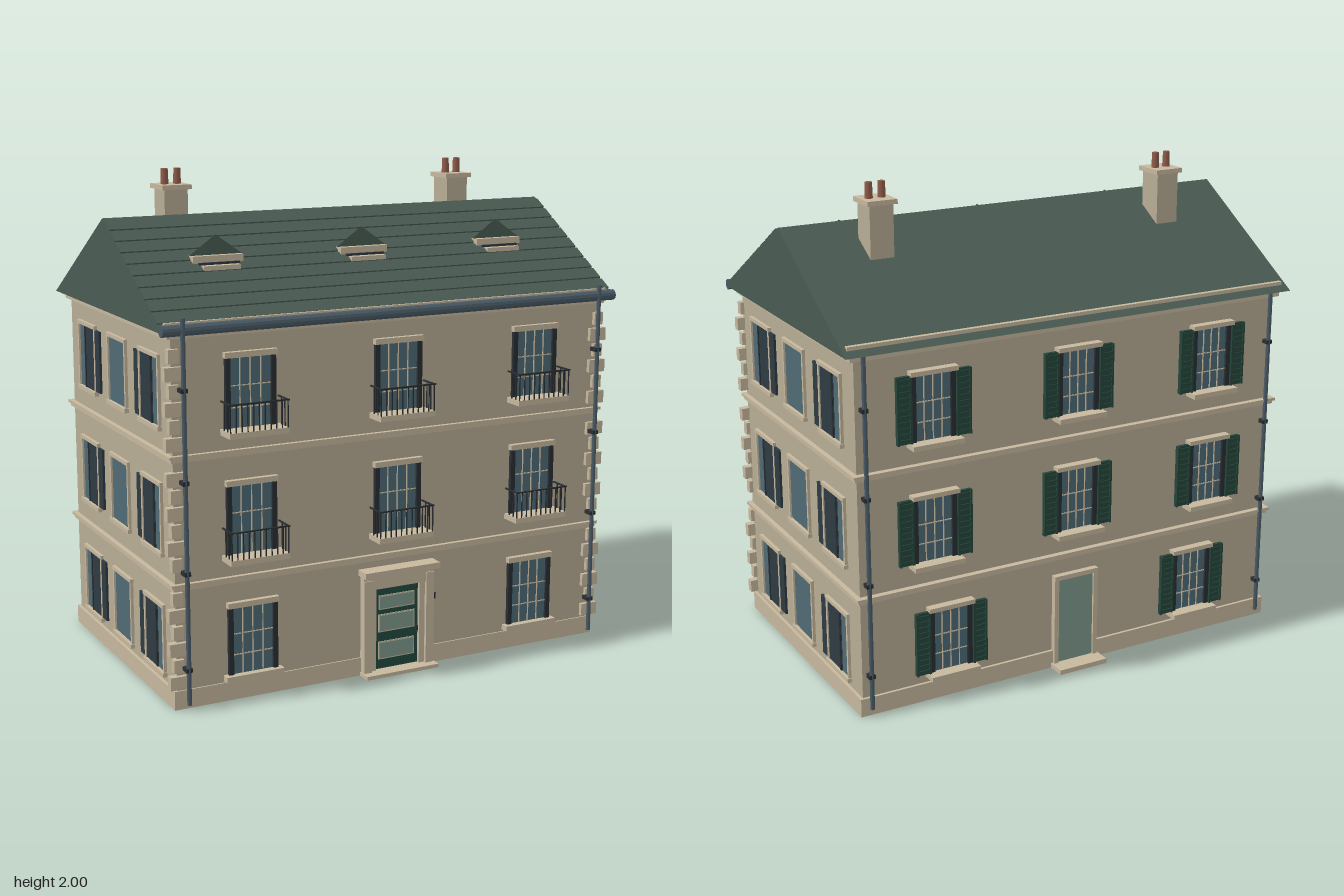
import * as THREE from 'three';

const COLORS = {
  wall: 0xb8ad95, trim: 0xc6b89e, roof: 0x495b52, gutter: 0x4a5a66, iron: 0x2a2f33,
  glass: 0x4f6a75, darkGlass: 0x2f3b43, shutter: 0x24453a, door: 0x1f4a3d, pane: 0x7d9a8c, pot: 0x8f5c49,
};
const mats = {};
for (const k in COLORS) mats[k] = new THREE.MeshStandardMaterial({ color: COLORS[k], flatShading: k !== 'pot' });

function put(parent, name, geo, mat) {
  const m = new THREE.Mesh(geo, mats[mat]);
  m.name = name;
  parent.add(m);
  return m;
}
// Box given by its limits on each axis
function box(parent, name, mat, x0, x1, y0, y1, z0, z1) {
  const m = put(parent, name, new THREE.BoxGeometry(x1 - x0, y1 - y0, z1 - z0), mat);
  m.position.set((x0 + x1) / 2, (y0 + y1) / 2, (z0 + z1) / 2);
  return m;
}
function group(parent, name, x = 0, y = 0, z = 0, ry = 0) {
  const g = new THREE.Group();
  g.name = name;
  g.position.set(x, y, z);
  g.rotation.y = ry;
  parent.add(g);
  return g;
}

// Glazing with bars; local origin at bottom centre, facing +z
function sash(g, hw, h) {
  box(g, 'glass', 'glass', -hw, hw, 0, h, -0.01, 0.006);
  for (const x of [-0.5, 0, 0.5]) box(g, 'glazingBar', 'trim', x * hw - 0.002, x * hw + 0.002, 0, h, 0, 0.01);
  for (const y of [0.28, 0.58]) box(g, 'glazingBar', 'trim', -hw, hw, y * h - 0.002, y * h + 0.002, 0, 0.009);
  for (const s of [-1, 1]) box(g, 'darkJamb', 'iron', s * (hw + 0.008) - 0.01, s * (hw + 0.008) + 0.01, 0, h, -0.01, 0.016);
}

function frontWindow(parent, x, y, balcony) {
  const g = group(parent, 'frontWindow', x, y, 0.56);
  sash(g, 0.086, 0.28);
  box(g, 'lintel', 'trim', -0.108, 0.108, 0.27, 0.292, -0.01, 0.022);
  const out = balcony ? 0.09 : 0.035;
  box(g, 'sill', 'trim', -0.122, 0.122, -0.022, 0, -0.01, out);
  if (!balcony) return;
  // Iron railing round the sill
  const r = group(g, 'balconyRail');
  box(r, 'frontRail', 'iron', -0.125, 0.125, 0.104, 0.11, 0.084, 0.09);
  for (let i = 0; i <= 10; i++) {
    const bx = -0.118 + i * 0.0236;
    box(r, 'baluster', 'iron', bx - 0.002, bx + 0.002, 0, 0.106, 0.085, 0.089);
  }
  for (const s of [-1, 1]) {
    box(r, 'sideRail', 'iron', s * 0.118 - 0.003, s * 0.118 + 0.003, 0.104, 0.11, 0, 0.09);
    for (const z of [0.03, 0.06]) box(r, 'baluster', 'iron', s * 0.118 - 0.002, s * 0.118 + 0.002, 0, 0.106, z - 0.002, z + 0.002);
  }
}

function backWindow(parent, x, y) {
  const g = group(parent, 'backWindow', x, y, -0.565, Math.PI);
  sash(g, 0.075, 0.265);
  box(g, 'lintel', 'trim', -0.1, 0.1, 0.262, 0.28, -0.01, 0.03);
  box(g, 'sill', 'trim', -0.107, 0.107, -0.02, 0, -0.01, 0.058);
  // Louvred shutters
  for (const s of [-1, 1]) {
    const sh = group(g, 'shutter', s * 0.125, 0, 0.012);
    box(sh, 'shutterPanel', 'shutter', -0.03, 0.03, 0, 0.265, -0.008, 0.006);
    for (const e of [-1, 1]) box(sh, 'stile', 'shutter', e * 0.027 - 0.004, e * 0.027 + 0.004, 0, 0.265, 0, 0.013);
    for (let i = 0; i < 11; i++) box(sh, 'louvre', 'shutter', -0.025, 0.025, 0.01 + i * 0.0235, 0.02 + i * 0.0235, 0, 0.011);
  }
}

// Framed window on an end wall; dark = direction of the closed leaf
function sideWindow(parent, x, y, dark) {
  const g = group(parent, 'sideWindow', x, y, 0);
  box(g, 'glass', 'glass', -0.092, 0.092, 0, 0.265, -0.01, 0.004);
  for (const s of [-1, 1]) box(g, 'jamb', 'trim', s * 0.097 - 0.006, s * 0.097 + 0.006, 0, 0.27, -0.01, 0.012);
  box(g, 'head', 'trim', -0.105, 0.105, 0.262, 0.277, -0.01, 0.014);
  box(g, 'sill', 'trim', -0.107, 0.107, -0.015, 0.002, -0.01, 0.018);
  if (!dark) return;
  const a = dark * -0.03, b = dark * 0.092;
  box(g, 'darkPane', 'darkGlass', Math.min(a, b), Math.max(a, b), 0.001, 0.262, 0, 0.007);
  box(g, 'paneDivider', 'iron', dark * -0.022 - 0.005, dark * -0.022 + 0.005, 0, 0.262, 0, 0.01);
  box(g, 'foldedShutter', 'darkGlass', dark * 0.128 - 0.025, dark * 0.128 + 0.025, 0.005, 0.26, -0.005, 0.01);
}

function pipe(parent, x, z, top) {
  const g = group(parent, 'downpipe', x, 0, z);
  put(g, 'pipe', new THREE.CylinderGeometry(0.009, 0.009, top - 0.03, 10), 'gutter').position.y = (top + 0.03) / 2;
  for (const y of [0.17, 0.55, 0.9, 1.25]) box(g, 'bracket', 'iron', -0.013, 0.013, y - 0.008, y + 0.008, -Math.sign(z) * 0.012 - 0.02, -Math.sign(z) * 0.012 + 0.02);
}

export function createModel() {
  const house = new THREE.Group();
  house.name = 'house';

  // Walls, plinth, string courses and eaves cornice
  box(house, 'walls', 'wall', -0.95, 0.95, 0.01, 1.47, -0.56, 0.56);
  box(house, 'plinth', 'trim', -0.963, 0.963, 0, 0.075, -0.572, 0.566);
  for (const y of [0.475, 0.972]) {
    box(house, 'stringCourse', 'trim', -0.962, 0.962, y, y + 0.02, -0.575, 0.572);
    box(house, 'stringCourseLip', 'trim', -0.97, 0.97, y + 0.014, y + 0.026, -0.585, 0.578);
  }
  box(house, 'cornice', 'trim', -0.97, 0.97, 1.438, 1.468, -0.575, 0.575);
  for (const s of [-1, 1]) box(house, 'eavesBoard', 'trim', -0.98, 0.98, 1.455, 1.499, s * 0.567 - 0.01, s * 0.567 + 0.01);

  // Gabled roof
  const tri = new THREE.Shape([[-0.61, 1.465], [0.61, 1.465], [0, 1.828]].map(p => new THREE.Vector2(...p)));
  const roof = put(house, 'roof', new THREE.ExtrudeGeometry(tri, { depth: 2, bevelEnabled: false }), 'roof');
  roof.rotation.y = Math.PI / 2;
  roof.position.x = -1;
  // Slate courses on the front slope
  const slope = group(house, 'slateCourses', 0, 1.828, 0);
  slope.rotation.x = Math.atan2(0.363, 0.61);
  for (let i = 0; i < 10; i++) {
    const z = 0.024 + i * 0.0712;
    box(slope, 'slateCourse', 'roof', -1, 1, -0.006, 0.006, z, Math.min(z + 0.059, 0.703));
  }

  // Gutter and downpipes
  const trough = put(house, 'gutter', new THREE.CylinderGeometry(0.022, 0.022, 2, 12), 'gutter');
  trough.rotation.z = Math.PI / 2;
  trough.position.set(0, 1.473, 0.593);
  for (const s of [-1, 1]) {
    pipe(house, s * 0.92, 0.608, 1.52);
    pipe(house, s * 0.92, -0.583, 1.46);
  }

  // Quoins on the front corners
  for (const s of [-1, 1]) for (let i = 0; i < 20; i++) {
    const y = 0.085 + i * 0.0665, out = i % 2 ? 0.966 : 0.982;
    if (Math.abs(y - 0.455) < 0.03 || Math.abs(y - 0.95) < 0.03) continue;
    const inn = i % 2 ? 0.925 : 0.905;
    box(house, 'quoin', 'trim', Math.min(s * inn, s * out), Math.max(s * inn, s * out), y, y + 0.052, 0.545, 0.577);
  }

  // Windows of the three floors
  [0.105, 0.588, 1.08].forEach((y, floor) => {
    for (const x of [-0.635, 0, 0.635]) {
      if (floor || x) {
        frontWindow(house, x, y, floor > 0);
        backWindow(house, floor ? x : x * 0.9, floor ? y + 0.01 : y + 0.015);
      }
    }
    for (const s of [-1, 1]) {
      const wall = group(house, 'endWall', s * 0.95, 0, 0, s * Math.PI / 2);
      for (const k of [-1, 0, 1]) sideWindow(wall, k * 0.352, y + 0.007, -k);
    }
  });

  // Front door with pilasters and canopy
  const door = group(house, 'frontDoor', 0, 0, 0.56);
  box(door, 'step', 'trim', -0.165, 0.165, 0, 0.015, 0, 0.07);
  for (const s of [-1, 1]) {
    box(door, 'pilaster', 'trim', s * 0.142 - 0.018, s * 0.142 + 0.018, 0, 0.4, 0, 0.035);
    box(door, 'innerJamb', 'trim', s * 0.113 - 0.014, s * 0.113 + 0.014, 0, 0.4, 0, 0.022);
  }
  box(door, 'doorHead', 'trim', -0.16, 0.16, 0.36, 0.415, 0, 0.03);
  box(door, 'canopy', 'trim', -0.15, 0.15, 0.41, 0.425, 0, 0.05);
  box(door, 'canopyTop', 'trim', -0.17, 0.17, 0.42, 0.445, 0, 0.065);
  box(door, 'doorLeaf', 'door', -0.1, 0.1, 0.015, 0.36, -0.01, 0.008);
  for (const [y, h] of [[0.06, 0.065], [0.175, 0.065], [0.27, 0.05]]) {
    box(door, 'panelFrame', 'trim', -0.083, 0.083, y - 0.005, y + h + 0.005, 0, 0.011);
    box(door, 'panel', 'pane', -0.078, 0.078, y, y + h, 0, 0.013);
  }
  box(door, 'handle', 'iron', 0.088, 0.096, 0.155, 0.175, 0, 0.02);
  box(door, 'wallLamp', 'iron', 0.163, 0.174, 0.28, 0.305, 0, 0.025);

  // Back door
  const back = group(house, 'backDoor', 0, 0, -0.56, Math.PI);
  box(back, 'backStep', 'trim', -0.11, 0.11, 0, 0.02, 0, 0.088);
  box(back, 'backDoorLeaf', 'pane', -0.083, 0.083, 0.02, 0.39, 0, 0.015);
  for (const s of [-1, 1]) box(back, 'backDoorJamb', 'trim', s * 0.092 - 0.01, s * 0.092 + 0.01, 0.02, 0.4, 0, 0.024);
  box(back, 'backDoorHead', 'trim', -0.102, 0.102, 0.388, 0.407, 0, 0.026);

  // Dormers with a flat gable board
  const gable = new THREE.ShapeGeometry(new THREE.Shape([[-0.11, 0], [0.11, 0], [0, 0.078]].map(p => new THREE.Vector2(...p))));
  const gableMat = mats.roof.clone();
  gableMat.side = THREE.DoubleSide;
  for (const x of [-0.635, 0, 0.635]) {
    const d = group(house, 'dormer', x, 1.655, 0);
    box(d, 'dormerHead', 'trim', -0.105, 0.105, 0.012, 0.04, 0.225, 0.282);
    box(d, 'dormerWindow', 'darkGlass', -0.085, 0.085, -0.02, 0.015, 0.22, 0.292);
    box(d, 'dormerSill', 'trim', -0.077, 0.077, -0.012, 0.006, 0.288, 0.322);
    const b = put(d, 'dormerGable', gable, 'roof');
    b.material = gableMat;
    b.position.set(0, 0.04, 0.255);
  }

  // Chimneys with clay pots
  for (const x of [-0.655, 0.655]) {
    const c = group(house, 'chimney', x, 0, -0.145);
    box(c, 'stack', 'wall', -0.05, 0.05, 1.6, 1.925, -0.055, 0.055);
    box(c, 'cap', 'trim', -0.063, 0.063, 1.918, 1.937, -0.067, 0.067);
    for (const s of [-1, 1])
      put(c, 'pot', new THREE.CylinderGeometry(0.014, 0.016, 0.065, 12), 'pot').position.set(s * 0.027, 1.9675, 0);
  }
  return house;
}
